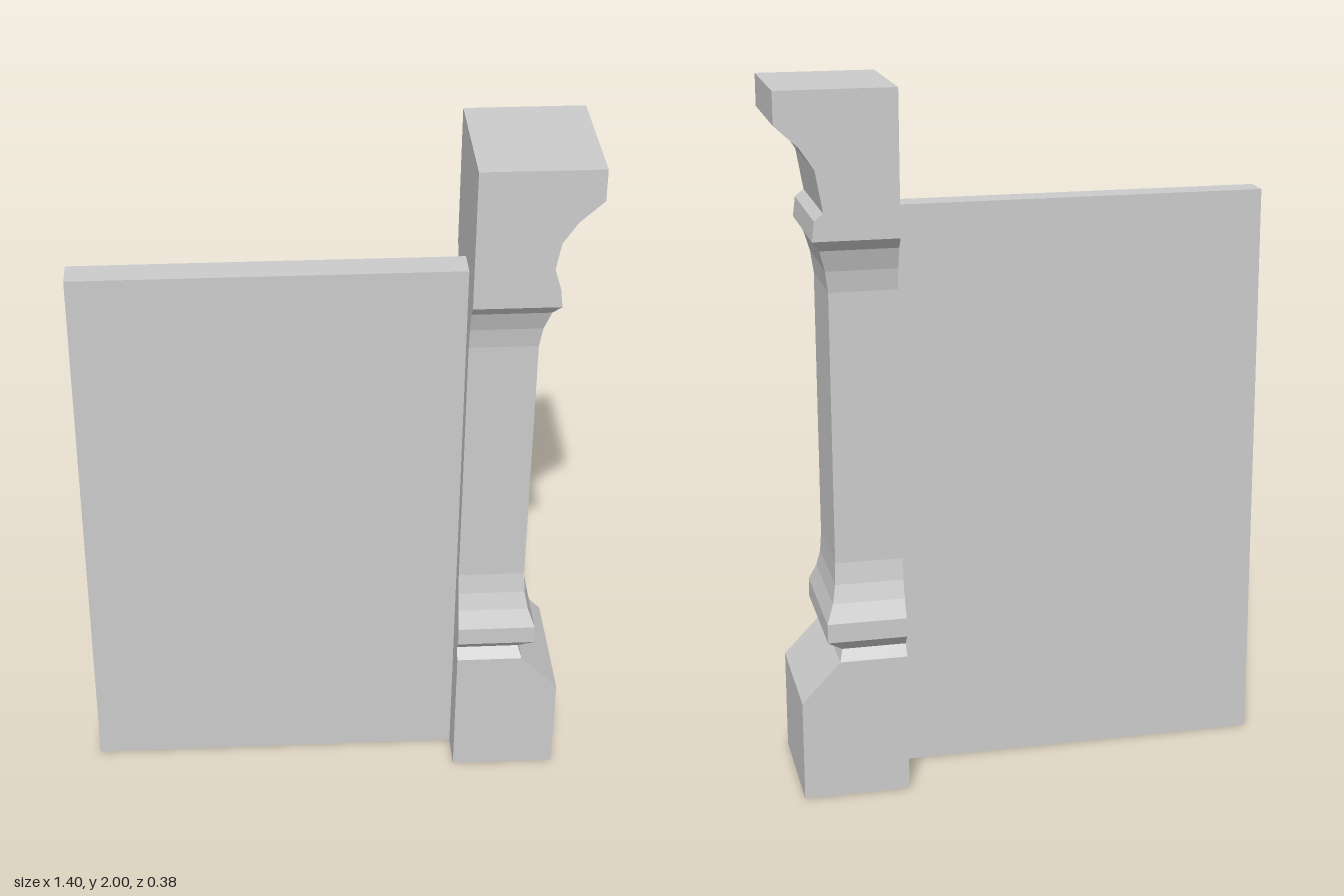
import * as THREE from 'three';

const material = new THREE.MeshStandardMaterial({
  color: 0xcccccc, flatShading: true, side: THREE.DoubleSide,
});
const INNER_X = 0.37;

// Post sections from bottom to top: [height, outer x, half depth]
const SECTIONS = [
  [0, 0.67, 0.19], [0.29, 0.67, 0.19], [0.405, 0.56, 0.19],   // plinth
  [0.435, 0.55, 0.165], [0.465, 0.593, 0.19], [0.52, 0.593, 0.19], // lower moulding
  [0.57, 0.573, 0.164], [0.62, 0.563, 0.147], [0.68, 0.56, 0.137],
  [1.45, 0.56, 0.137], [1.51, 0.568, 0.146], [1.57, 0.585, 0.166], // shaft and flare
  [1.6, 0.607, 0.19], [1.655, 0.6, 0.19], [1.675, 0.575, 0.19],  // collar
  [1.79, 0.595, 0.19], [1.85, 0.635, 0.19], [1.91, 0.7, 0.19], [2, 0.7, 0.19], // bracket
];

// Four-sided walls between sections, closed at the top and open below
function loft(rings) {
  const pos = [];
  const quad = (a, b, c, d) => pos.push(...a, ...b, ...c, ...a, ...c, ...d);
  for (let i = 0; i < rings.length - 1; i++) {
    for (let k = 0; k < 4; k++) {
      const n = (k + 1) % 4;
      quad(rings[i][k], rings[i][n], rings[i + 1][n], rings[i + 1][k]);
    }
  }
  quad(...rings[rings.length - 1]);
  const geometry = new THREE.BufferGeometry();
  geometry.setAttribute('position', new THREE.Float32BufferAttribute(pos, 3));
  geometry.computeVertexNormals();
  return geometry;
}

// Rectangle at height y, counter-clockwise seen from above
const ring = (y, x0, x1, z0, z1) => [[x0, y, z1], [x1, y, z1], [x1, y, z0], [x0, y, z0]];

function addPart(group, name, rings) {
  const mesh = new THREE.Mesh(loft(rings), material);
  mesh.name = name;
  group.add(mesh);
}

export function createModel() {
  const group = new THREE.Group();
  group.name = 'postAndPanel';
  addPart(group, 'mouldedPost', SECTIONS.map(([y, x, d]) => ring(y, INNER_X, x, -d, d)));
  addPart(group, 'sidePanel', [0, 1.655].map((y) => ring(y, -0.705, INNER_X, 0, 0.083)));
  return group;
}
